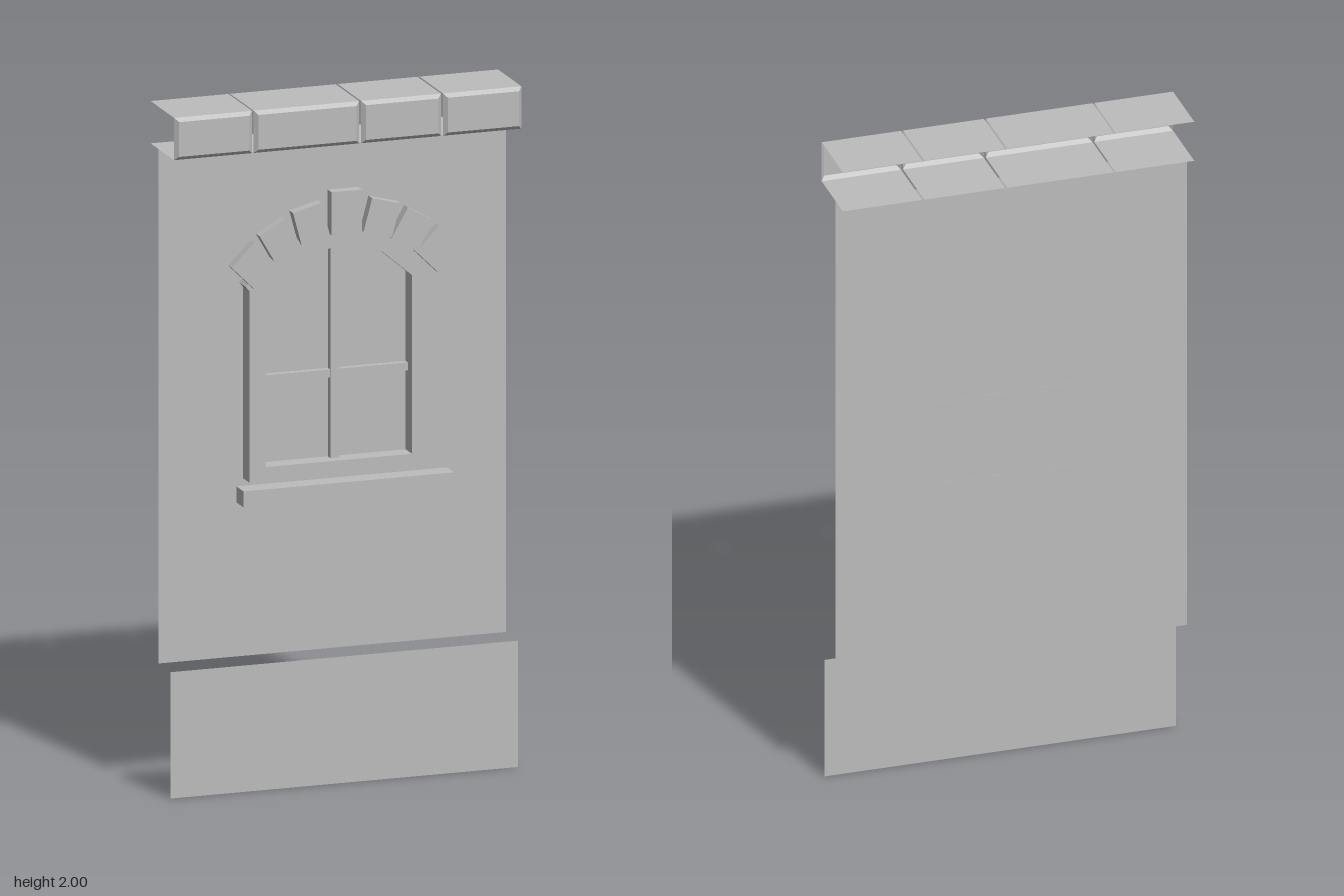
import * as THREE from 'three';

const stone = new THREE.MeshStandardMaterial({ color: 0xbcbcbc, side: THREE.DoubleSide });
stone.name = 'grey stone';

const WALL_Z = -0.037, FRAME_Z = 0.018, PLINTH_TOP = 0.37, CORNICE_Y = 1.876, HALF = 0.522;

function add(parent, name, geometry, x = 0, y = 0, z = 0) {
  const mesh = new THREE.Mesh(geometry, stone);
  mesh.name = name;
  mesh.position.set(x, y, z);
  parent.add(mesh);
  return mesh;
}

// Box given by its lower and upper limits
function block(parent, name, x0, x1, y0, y1, z0, z1) {
  return add(parent, name, new THREE.BoxGeometry(x1 - x0, y1 - y0, z1 - z0),
    (x0 + x1) / 2, (y0 + y1) / 2, (z0 + z1) / 2);
}

const toPoints = (list) => list.map(([x, y]) => new THREE.Vector2(x, y));

// Outline of the window surround with its round-topped head
function outerOutline() {
  const pts = [[-0.268, 0.89], [0.268, 0.89], [0.268, 1.45], [0.28, 1.465]];
  const cy = 1.273, r = 0.337;
  const a0 = Math.atan2(1.465 - cy, 0.28), n = 16;
  for (let i = 1; i < n; i++) {
    const a = a0 + (Math.PI - 2 * a0) * i / n;
    pts.push([r * Math.cos(a), cy + r * Math.sin(a)]);
  }
  pts.push([-0.28, 1.465], [-0.268, 1.45]);
  return toPoints(pts);
}

// Outline of the glazed opening with its faceted head
const innerOutline = () => toPoints([[-0.22, 0.932], [0.22, 0.932], [0.22, 1.455],
  [0.13, 1.532], [0, 1.562], [-0.13, 1.532], [-0.22, 1.455]]);

// Open-backed cornice stone: top and bottom sheets, bevels and front face
function corniceStone(x0, x1) {
  const b = 0.011, back = -0.105, edge = 0.093, front = 0.104, y0 = CORNICE_Y, y1 = 2;
  const ring = (x, y, dx, dy, z) => [[x, y, z], [dx, y, z], [dx, dy, z], [x, dy, z]];
  const o = ring(x0, y0, x1, y1, edge);
  const i = ring(x0 + b, y0 + b, x1 - b, y1 - b, front);
  const k = ring(x0, y0, x1, y1, back);
  const quads = [i, [k[0], k[1], o[1], o[0]], [o[3], o[2], k[2], k[3]]];
  for (let n = 0; n < 4; n++) {
    const m = (n + 1) % 4;
    quads.push([o[n], o[m], i[m], i[n]]);
  }
  const pos = quads.flatMap(([a, c, d, e]) => [a, c, d, a, d, e].flat());
  const g = new THREE.BufferGeometry();
  g.setAttribute('position', new THREE.Float32BufferAttribute(pos, 3));
  g.computeVertexNormals();
  return g;
}

export function createModel() {
  const model = new THREE.Group();
  model.name = 'windowWall';

  // Wall sheet with an opening, and the base sheet standing forward of it
  const wall = new THREE.Shape(toPoints([[-HALF, PLINTH_TOP], [HALF, PLINTH_TOP],
    [HALF, CORNICE_Y], [-HALF, CORNICE_Y]]));
  wall.holes.push(new THREE.Path(outerOutline()));
  add(model, 'wall', new THREE.ShapeGeometry(wall), 0, 0, WALL_Z);
  add(model, 'plinth', new THREE.PlaneGeometry(2 * HALF, PLINTH_TOP), 0, PLINTH_TOP / 2, 0.065);

  // Cornice course
  const cornice = new THREE.Group();
  cornice.name = 'cornice';
  model.add(cornice);
  for (const [x0, x1] of [[-HALF, -0.288], [-0.283, 0.034], [0.04, 0.28], [0.286, HALF]]) {
    add(cornice, 'corniceStone', corniceStone(x0, x1));
  }

  // Window: surround, pane, glazing bars and sill
  const win = new THREE.Group();
  win.name = 'window';
  model.add(win);
  const surround = new THREE.Shape(outerOutline());
  surround.holes.push(new THREE.Path(innerOutline()));
  add(win, 'windowFrame', new THREE.ExtrudeGeometry(surround,
    { depth: FRAME_Z - WALL_Z, bevelEnabled: false }), 0, 0, WALL_Z);
  add(win, 'pane', new THREE.ShapeGeometry(new THREE.Shape(innerOutline())), 0, 0, WALL_Z + 0.001);
  block(win, 'verticalBar', -0.014, 0.014, 0.932, 1.56, WALL_Z, -0.015);
  block(win, 'horizontalBar', -0.22, 0.22, 1.168, 1.191, WALL_Z, -0.017);
  block(win, 'sill', -0.316, 0.316, 0.843, 0.89, 0.042, 0.102);

  // Arch stones fanned over the window
  const arch = new THREE.Group();
  arch.name = 'archStones';
  model.add(arch);
  const fan = [[0, 1.675, 0, 0.092, 0.126], [0.106, 1.65, 15, 0.088, 0.1],
    [0.198, 1.607, 30, 0.09, 0.1], [0.277, 1.542, 45, 0.096, 0.098]];
  for (const [x, y, tilt, w, h] of fan) {
    for (const side of x ? [-1, 1] : [1]) {
      const s = add(arch, 'archStone', new THREE.BoxGeometry(w, h, 0.032), side * x, y, 0.069);
      s.rotation.z = -side * THREE.MathUtils.degToRad(tilt);
    }
  }
  return model;
}
